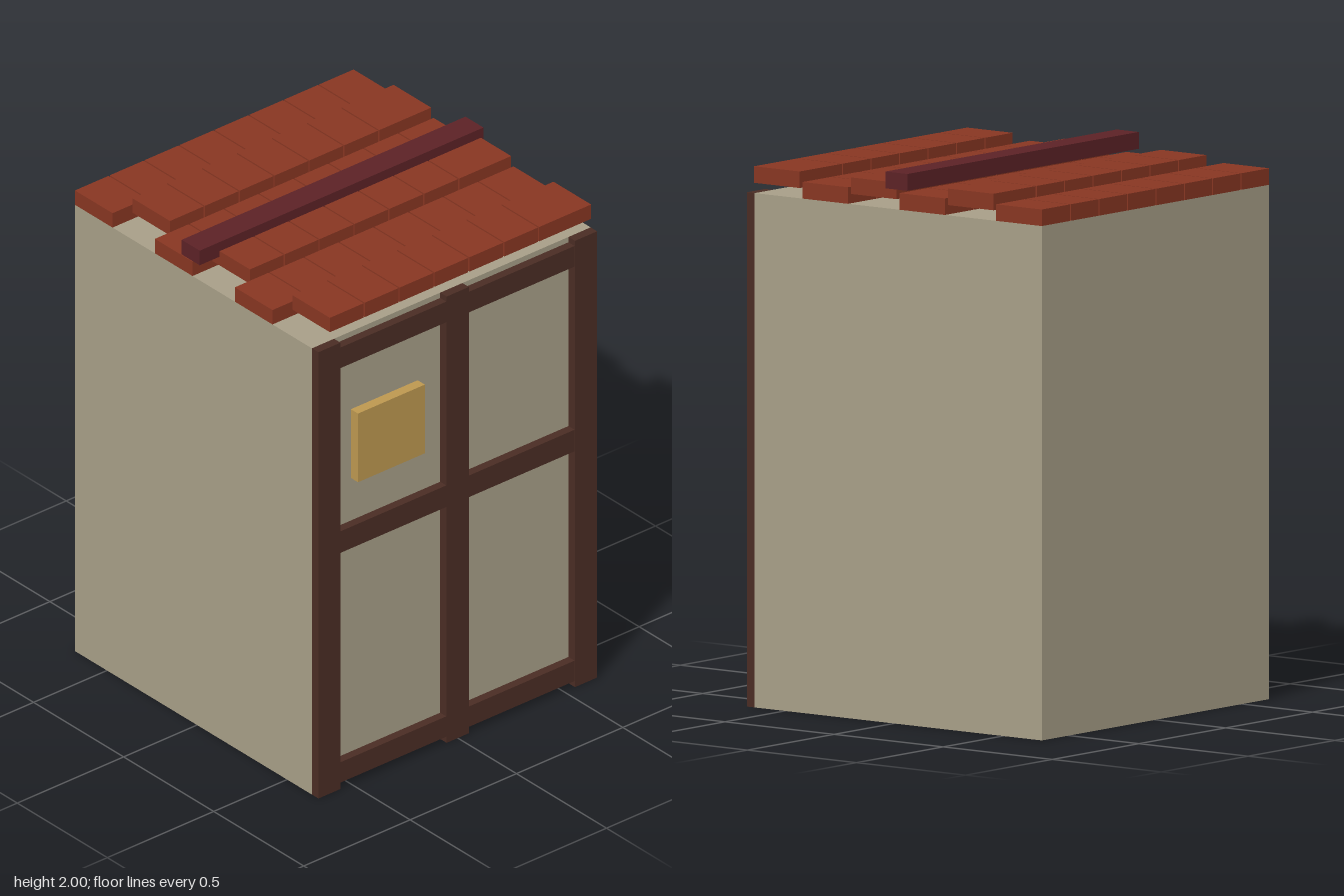
import * as THREE from 'three';

const mat = (name, color) => {
  const m = new THREE.MeshStandardMaterial({ color });
  m.name = name;
  return m;
};

export function createModel() {
  const plaster = mat('plaster', 0xa89f88);
  const timber = mat('darkTimber', 0x4a2c24);
  const clay = mat('clayTile', 0x883622);
  const ridgeRed = mat('ridgeRed', 0x5c2226);
  const ochre = mat('ochre', 0xbd9850);

  const model = new THREE.Group();
  model.name = 'timberFramedHouse';

  // Box given by its minimum and maximum on each axis
  const box = (name, material, [x0, x1], [y0, y1], [z0, z1], parent = model) => {
    const mesh = new THREE.Mesh(new THREE.BoxGeometry(x1 - x0, y1 - y0, z1 - z0), material);
    mesh.position.set((x0 + x1) / 2, (y0 + y1) / 2, (z0 + z1) / 2);
    mesh.name = name;
    parent.add(mesh);
  };
  const group = (name) => {
    const g = new THREE.Group();
    g.name = name;
    model.add(g);
    return g;
  };

  // Walls
  const W = 0.655, H = 1.865, back = -0.678, front = 0.638;
  box('walls', plaster, [-W, W], [0, H], [back, front]);

  // Timber frame: three posts and three rails set a hair behind them
  const frame = group('timberFrame');
  for (const x of [-0.603, 0, 0.603]) {
    box('post', timber, [x - 0.052, x + 0.052], [0, H], [front, 0.674], frame);
  }
  for (const [y0, y1] of [[0.025, 0.11], [0.985, 1.075], [1.757, 1.843]]) {
    box('rail', timber, [-W, W], [y0, y1], [front, 0.672], frame);
  }

  // Square plaque in the upper panel
  box('plaque', ochre, [-0.472, -0.158], [1.253, 1.54], [front, 0.678]);

  // Roof tiles: alternate rows are raised and shifted half a tile
  const roof = group('roofTiles');
  const pitch = 0.164;
  for (let row = 0; row < 6; row++) {
    const raised = row % 2 === 1;
    const z = back + row * 0.222;
    const y = raised ? 1.902 : H;
    const start = -W + (raised ? pitch / 2 : 0);
    const count = raised ? 7 : 8;
    for (let i = 0; i < count; i++) {
      const x = start + i * pitch;
      // The end tile runs out to the wall edge
      const end = i === count - 1 ? W : x + 0.158;
      box('tile', clay, [x, end], [y, y + 0.06], [z, z + 0.209], roof);
    }
  }

  // Ridge beam across the roof
  box('ridgeBeam', ridgeRed, [-0.667, 0.667], [1.939, 2], [-0.071, 0.029]);

  return model;
}
